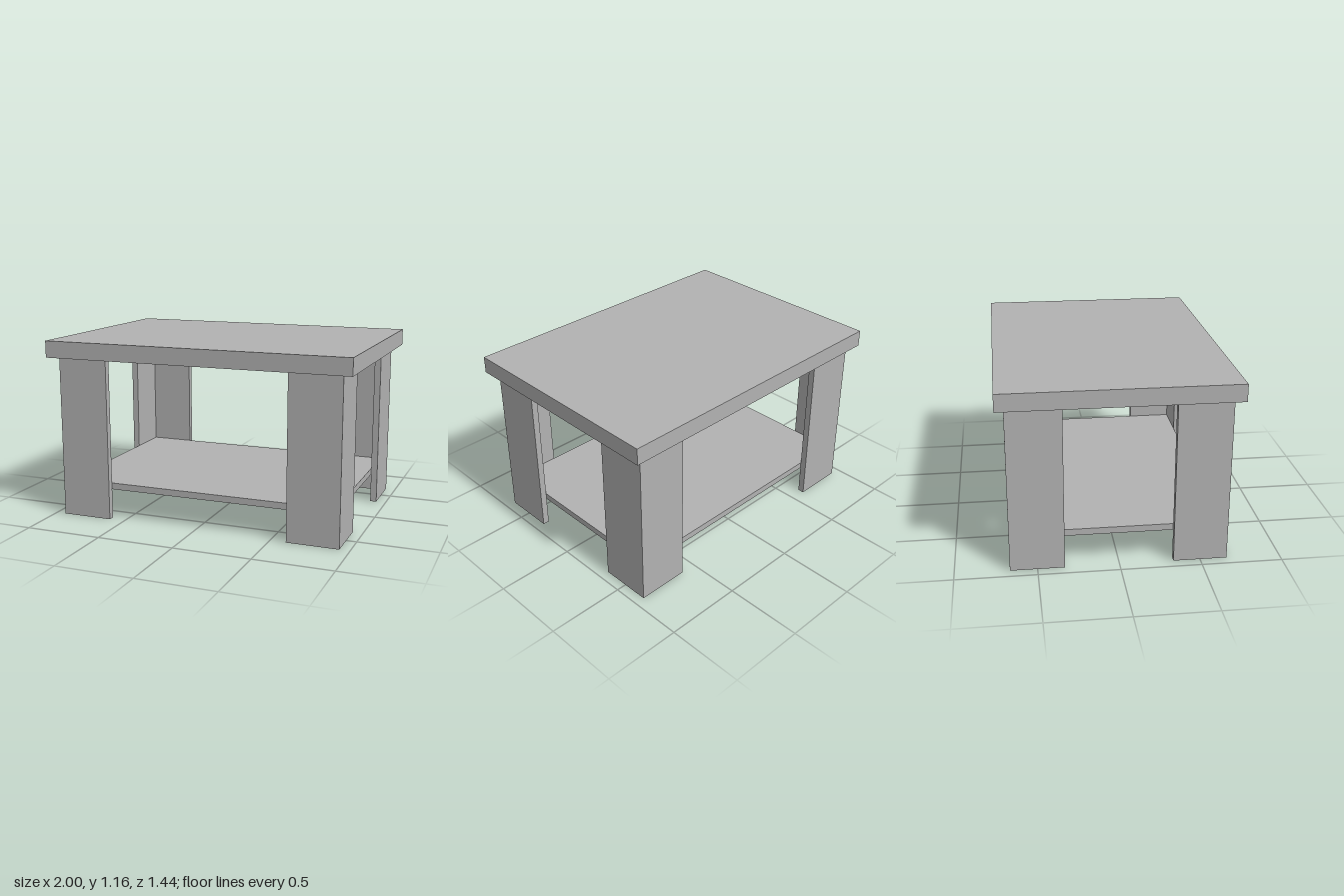
import * as THREE from 'three';

const TOP_BOTTOM = 1.05, TOP_THICK = 0.108;
const LEG_X = 0.935, LEG_Z = 0.667, LEG_WIDTH = 0.333, BOARD = 0.042;

export function createModel() {
  const table = new THREE.Group();
  table.name = 'coffeeTable';

  const grey = new THREE.MeshStandardMaterial({ color: 0xb2b2b2 });
  grey.name = 'grey';

  function slab(name, width, height, depth, bottom) {
    const mesh = new THREE.Mesh(new THREE.BoxGeometry(width, height, depth), grey);
    mesh.name = name;
    mesh.position.y = bottom + height / 2;
    table.add(mesh);
  }

  // Thick top and a thin shelf resting in the inner corners of the legs
  slab('tableTop', 2, TOP_THICK, 1.44, TOP_BOTTOM);
  slab('shelf', 2 * (LEG_X - BOARD), BOARD, 2 * (LEG_Z - BOARD), 0.193);

  // L-shaped leg section, outer corner at the origin
  const section = new THREE.Shape([
    [0, 0], [0, LEG_WIDTH], [-BOARD, LEG_WIDTH],
    [-BOARD, BOARD], [-LEG_WIDTH, BOARD], [-LEG_WIDTH, 0],
  ].map(([x, y]) => new THREE.Vector2(x, y)));
  const legGeometry = new THREE.ExtrudeGeometry(section, { depth: TOP_BOTTOM, bevelEnabled: false });
  legGeometry.rotateX(-Math.PI / 2);

  // The same leg turned to face inward at each corner
  const corners = [
    ['frontLeftLeg', 1, 1, 0],
    ['backLeftLeg', 1, -1, Math.PI / 2],
    ['backRightLeg', -1, -1, Math.PI],
    ['frontRightLeg', -1, 1, -Math.PI / 2],
  ];
  for (const [name, sx, sz, turn] of corners) {
    const leg = new THREE.Mesh(legGeometry, grey);
    leg.name = name;
    leg.position.set(sx * LEG_X, 0, sz * LEG_Z);
    leg.rotation.y = turn;
    table.add(leg);
  }

  return table;
}
